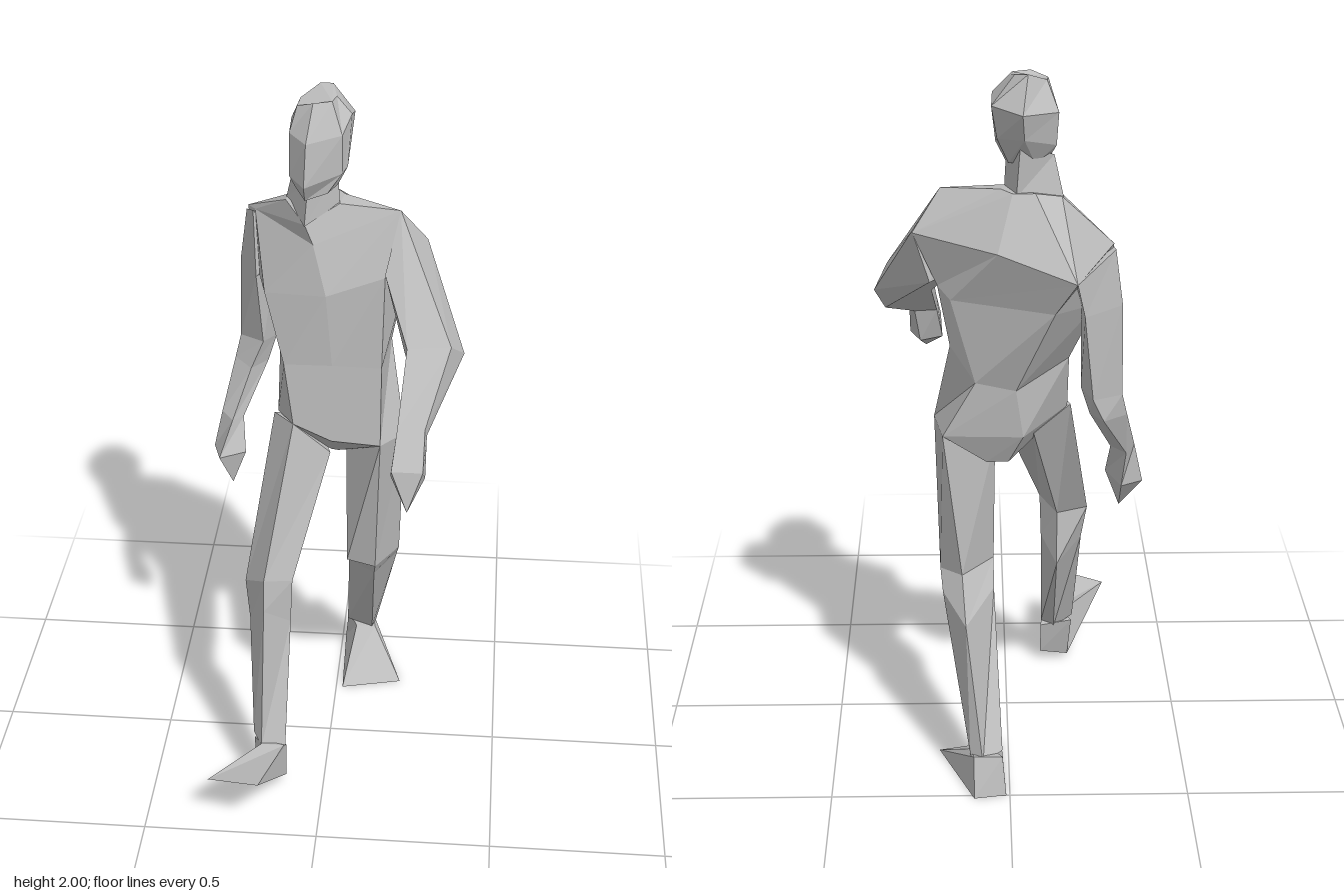
import * as THREE from 'three';

const skin = new THREE.MeshStandardMaterial({ name: 'plain grey', color: 0xbcbcbc, flatShading: true });

// Skins a list of cross-sections (corners counter-clockwise from above, top to bottom).
// A section with a single corner closes the form to a point.
function loft(name, sections) {
  const pos = [];
  const tri = (a, b, c) => pos.push(...a, ...b, ...c);
  const n = sections[0].length;
  const at = (s, j) => s[j % s.length];
  for (let i = 0; i < sections.length - 1; i++) {
    const s = sections[i], t = sections[i + 1];
    for (let j = 0; j < n; j++) {
      const k = (j + 1) % n;
      tri(at(s, j), at(t, j), at(s, k));
      if (t.length > 1) tri(at(s, k), at(t, j), at(t, k));
    }
  }
  const top = sections[0], end = sections[sections.length - 1];
  for (let j = 1; j < n - 1; j++) {
    tri(top[0], top[j], top[j + 1]);
    if (end.length > 1) tri(end[0], end[j + 1], end[j]);
  }
  const geo = new THREE.BufferGeometry();
  geo.setAttribute('position', new THREE.Float32BufferAttribute(pos, 3));
  geo.computeVertexNormals();
  const mesh = new THREE.Mesh(geo, skin);
  mesh.name = name;
  return mesh;
}

export function createModel() {
  const figure = new THREE.Group();
  figure.name = 'walkingFigure';
  const add = (name, sections) => figure.add(loft(name, sections));

  // Head: crown, brow, jaw, chin
  // (corners: front left, left, back left, back right, right, front right, front centre)
  add('head', [
    [[-.01, 1.985, -.17], [.0, 1.985, -.21], [-.015, 2, -.27], [-.05, 2, -.27], [-.1, 1.975, -.22], [-.105, 1.97, -.17], [-.06, 1.985, -.15]],
    [[.02, 1.9, -.14], [.042, 1.94, -.2], [.045, 1.92, -.275], [-.035, 1.91, -.345], [-.13, 1.9, -.265], [-.125, 1.9, -.15], [-.075, 1.89, -.09]],
    [[.02, 1.79, -.14], [.033, 1.8, -.17], [.03, 1.83, -.26], [-.04, 1.84, -.32], [-.125, 1.81, -.25], [-.125, 1.78, -.14], [-.08, 1.77, -.075]],
    [[-.02, 1.735, -.13], [.005, 1.745, -.17], [0, 1.76, -.24], [-.07, 1.76, -.25], [-.1, 1.75, -.2], [-.11, 1.75, -.14], [-.08, 1.72, -.11]],
  ]);

  // Neck (corners: front, left, back, right)
  add('neck', [
    [[-.075, 1.75, -.15], [.005, 1.78, -.19], [-.03, 1.82, -.29], [-.12, 1.78, -.23]],
    [[-.085, 1.63, -.14], [.01, 1.685, -.185], [-.02, 1.68, -.285], [-.145, 1.67, -.25]],
  ]);

  // Torso: neck base, shoulders, chest, waist, hips, crotch (corners as for the head)
  add('torso', [
    [[.01, 1.685, -.18], [.02, 1.69, -.24], [-.01, 1.69, -.285], [-.07, 1.69, -.285], [-.14, 1.675, -.26], [-.145, 1.67, -.23], [-.085, 1.63, -.15]],
    [[.18, 1.675, -.17], [.255, 1.565, -.22], [.03, 1.55, -.365], [-.175, 1.49, -.435], [-.27, 1.585, -.38], [-.245, 1.59, -.34], [-.06, 1.58, -.13]],
    [[.145, 1.52, -.06], [.19, 1.42, -.225], [.155, 1.39, -.26], [-.12, 1.39, -.38], [-.235, 1.4, -.32], [-.2, 1.42, -.15], [-.02, 1.45, -.075]],
    [[.14, 1.25, -.04], [.158, 1.25, -.23], [.09, 1.16, -.28], [-.02, 1.14, -.29], [-.165, 1.21, -.22], [-.14, 1.23, -.08], [0, 1.25, -.045]],
    [[.14, 1.01, -.02], [.205, 1, -.12], [.18, 1, -.27], [-.04, 1, -.28], [-.165, 1.04, -.15], [-.11, 1.065, -.03], [0, 1.02, -.02]],
    [[.035, .93, -.13], [.06, .93, -.15], [.06, .91, -.24], [0, .91, -.24], [-.03, .93, -.17], [-.01, .93, -.13], [.012, .93, -.125]],
  ]);

  // Left arm, swung forward (corners: front, top, outer, back, inner)
  const leftWrist = [[.2, 1.22, .25], [.275, 1.225, .25], [.28, 1.2, .235], [.265, 1.18, .24], [.2, 1.185, .235]];
  add('leftArm', [
    [[.145, 1.53, -.06], [.18, 1.675, -.17], [.255, 1.57, -.22], [.21, 1.43, -.23], [.16, 1.42, -.13]],
    [[.215, 1.38, .085], [.335, 1.385, .075], [.37, 1.33, 0], [.34, 1.27, .02], [.21, 1.32, .02]],
    leftWrist,
  ]);
  add('leftHand', [
    leftWrist,
    [[.19, 1.14, .335], [.275, 1.14, .335], [.28, 1.1, .29], [.25, 1.08, .26], [.185, 1.09, .27]],
    [[.235, 1.03, .36]],
  ]);

  // Right arm, swung back (corners: front, left, back, right)
  const rightWrist = [[-.31, .96, -.22], [-.28, .96, -.25], [-.32, .96, -.3], [-.345, .97, -.26]];
  add('rightArm', [
    [[-.25, 1.59, -.33], [-.16, 1.48, -.31], [-.175, 1.49, -.435], [-.275, 1.57, -.385]],
    [[-.24, 1.4, -.29], [-.19, 1.4, -.33], [-.195, 1.4, -.43], [-.295, 1.42, -.39]],
    [[-.225, 1.18, -.31], [-.19, 1.18, -.36], [-.22, 1.165, -.42], [-.3, 1.165, -.38]],
    [[-.26, 1.1, -.29], [-.215, 1.1, -.35], [-.25, 1.1, -.41], [-.315, 1.1, -.36]],
    rightWrist,
  ]);
  add('rightHand', [
    rightWrist,
    [[-.345, .86, -.165], [-.27, .865, -.2], [-.31, .85, -.275], [-.37, .855, -.25]],
    [[-.31, .76, -.2]],
  ]);

  // Left leg, trailing: hip, knee, calf, ankle (corners: front, left, back, right)
  add('leftLeg', [
    [[.14, 1.01, -.02], [.205, 1, -.12], [.18, 1, -.27], [.035, .93, -.13]],
    [[.125, .54, -.105], [.192, .56, -.19], [.13, .57, -.26], [.04, .555, -.115]],
    [[.12, .49, -.145], [.185, .51, -.24], [.12, .47, -.38], [.04, .5, -.2]],
    [[.1, .1, -.415], [.11, .1, -.45], [.075, .09, -.48], [.02, .11, -.44]],
  ]);
  // Feet (corners: front left, back left, back right, front right)
  add('leftFoot', [
    [[.11, .1, -.415], [.1, .11, -.475], [.02, .11, -.475], [.05, .1, -.415]],
    [[.2, 0, -.26], [.1, 0, -.515], [.01, 0, -.5], [.02, 0, -.215]],
  ]);

  // Right leg, striding forward
  add('rightLeg', [
    [[-.11, 1.065, -.03], [-.01, .93, -.11], [-.07, .99, -.23], [-.175, 1.04, -.14]],
    [[-.175, .675, .2], [-.1, .635, .13], [-.15, .6, .08], [-.24, .61, .1]],
    [[-.175, .58, .215], [-.105, .5, .14], [-.15, .44, .06], [-.225, .5, .13]],
    [[-.18, .15, .29], [-.112, .14, .265], [-.15, .12, .255], [-.207, .17, .245]],
  ]);
  add('rightFoot', [
    [[-.115, .15, .28], [-.11, .13, .25], [-.205, .15, .245], [-.18, .16, .29]],
    [[-.165, .19, .515], [-.11, .03, .265], [-.195, .015, .275], [-.315, .165, .47]],
  ]);

  return figure;
}
